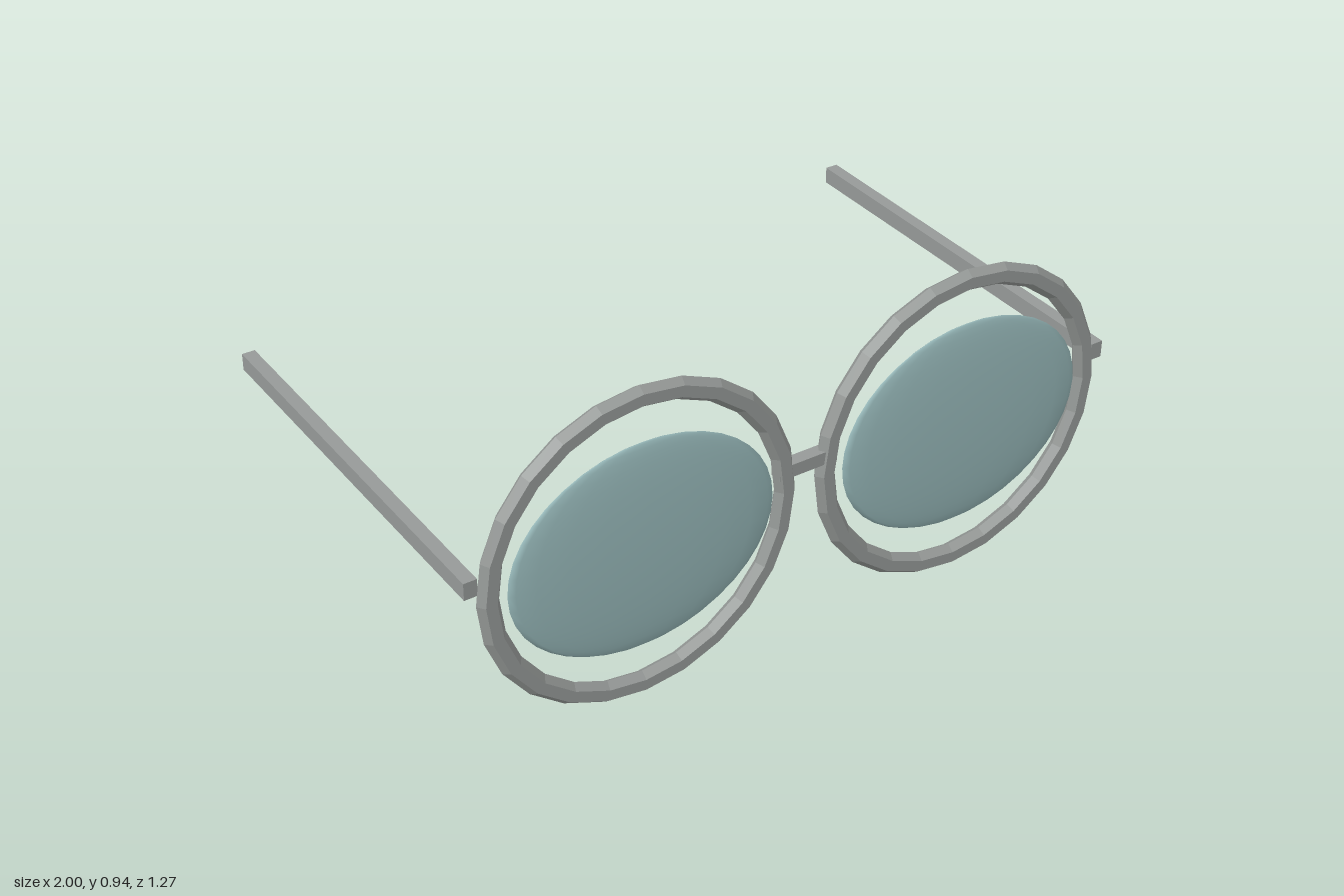
import * as THREE from 'three';

export function createModel() {
  const model = new THREE.Group();
  model.name = 'glasses';

  const frameGrey = new THREE.MeshStandardMaterial({ color: 0x969a98, flatShading: true });
  frameGrey.name = 'frame grey';
  const lensTeal = new THREE.MeshStandardMaterial({ color: 0x96b7b8 });
  lensTeal.name = 'lens teal';

  const add = (name, geometry, material, x, y, z) => {
    const mesh = new THREE.Mesh(geometry, material);
    mesh.name = name;
    mesh.position.set(x, y, z);
    model.add(mesh);
    return mesh;
  };

  // Hexagonal-section rim, slightly flattened front to back
  const rimGeometry = new THREE.TorusGeometry(0.437, 0.032, 6, 24).scale(1, 1, 0.78);
  // Thin oval lens, bulging in front of the rim
  const lensGeometry = new THREE.SphereGeometry(1, 20, 20).scale(0.39, 0.31, 0.025);
  const templeGeometry = new THREE.BoxGeometry(0.038, 0.05, 1.229);

  for (const [side, s] of [['left', 1], ['right', -1]]) {
    add(side + 'Rim', rimGeometry, frameGrey, s * 0.5, 0.47, 0.595);
    add(side + 'Lens', lensGeometry, lensTeal, s * 0.5, 0.473, 0.609);
    add(side + 'Temple', templeGeometry, frameGrey, s * 0.981, 0.527, -0.0195);
  }

  // Bridge between the rims
  add('bridge', new THREE.BoxGeometry(0.18, 0.038, 0.038), frameGrey, 0, 0.528, 0.593);

  return model;
}
